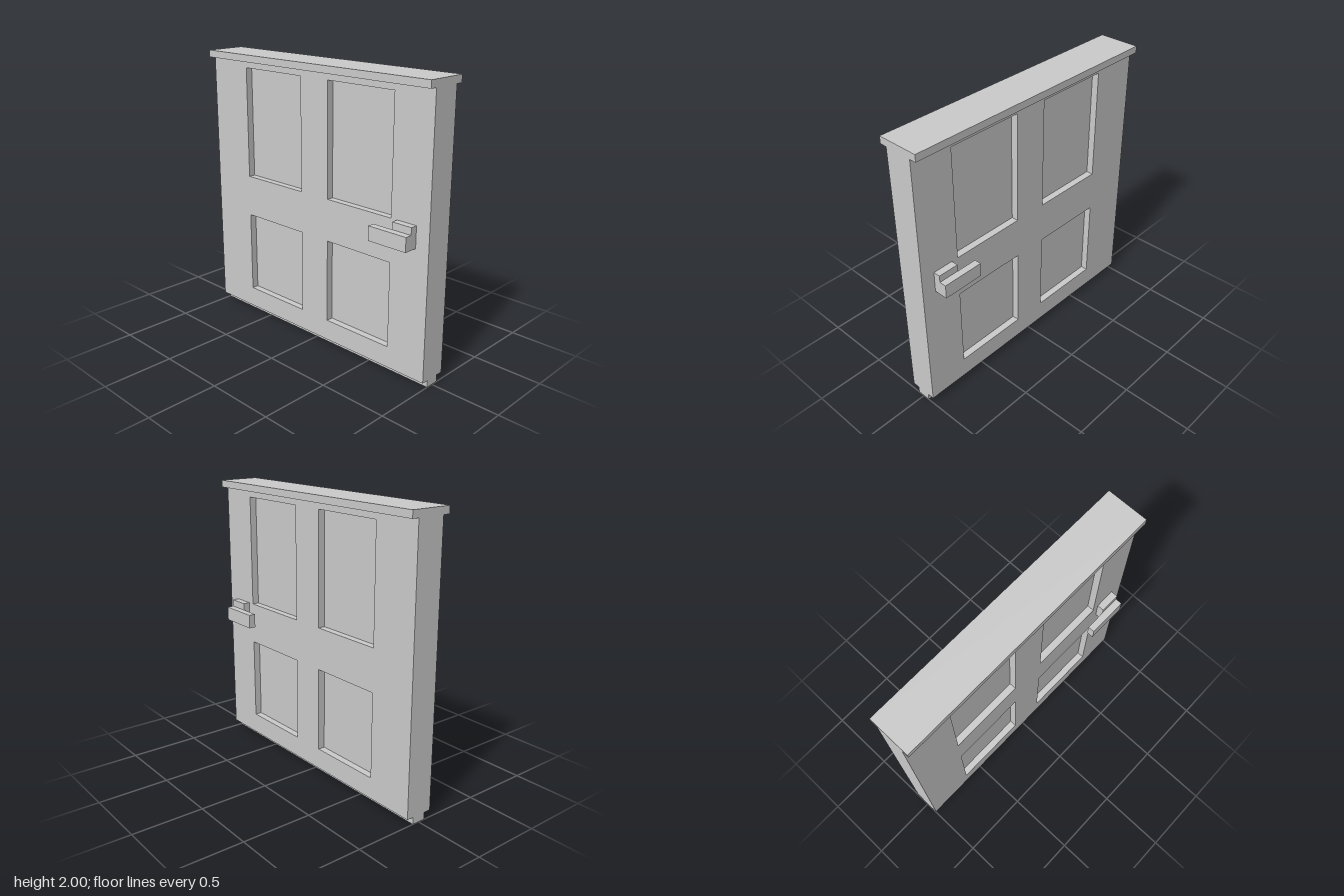
import * as THREE from 'three';

const material = new THREE.MeshStandardMaterial({ color: 0xcccccc, flatShading: true });

// Box given by its [min, max] range on each axis
function box(name, [x0, x1], [y0, y1], [z0, z1]) {
  const geometry = new THREE.BoxGeometry(x1 - x0, y1 - y0, z1 - z0);
  const mesh = new THREE.Mesh(geometry, material);
  mesh.position.set((x0 + x1) / 2, (y0 + y1) / 2, (z0 + z1) / 2);
  mesh.name = name;
  return mesh;
}

function rectangle(target, [z0, z1], [y0, y1]) {
  target.moveTo(z0, y0).lineTo(z1, y0).lineTo(z1, y1).lineTo(z0, y1).closePath();
  return target;
}

export function createModel() {
  const door = new THREE.Group();
  door.name = 'door';

  // Door frame with four openings, each filled by a thinner panel
  const outline = rectangle(new THREE.Shape(), [-1, 1], [0.05, 1.95]);
  for (const z of [[-0.65, -0.1], [0.15, 0.7]]) {
    for (const [level, y] of [['lower', [0.2, 0.8]], ['upper', [1.1, 1.9]]]) {
      outline.holes.push(rectangle(new THREE.Path(), z, y));
      door.add(box(level + (z[0] < 0 ? 'BackPanel' : 'FrontPanel'), [-0.05, 0.05], y, z));
    }
  }
  const frameGeometry = new THREE.ExtrudeGeometry(outline, { depth: 0.2, bevelEnabled: false });
  frameGeometry.translate(0, 0, -0.1).rotateY(-Math.PI / 2);
  const frame = new THREE.Mesh(frameGeometry, material);
  frame.name = 'doorFrame';
  door.add(frame);

  // Overhanging top rail and narrow bottom runner
  door.add(box('topRail', [-0.15, 0.15], [1.95, 2], [-1, 1]));
  door.add(box('bottomRunner', [-0.05, 0.05], [0, 0.05], [-1, 1]));

  // A handle on each face: a mount against the door and a lever standing off it
  for (const [side, s] of [['left', 1], ['right', -1]]) {
    const handle = new THREE.Group();
    handle.name = side + 'Handle';
    const span = (a, b) => (s > 0 ? [a, b] : [-b, -a]);
    handle.add(box('handleMount', span(0.1, 0.15), [0.95, 1.1], [0.75, 0.9]));
    handle.add(box('handleLever', span(0.15, 0.2), [0.95, 1.05], [0.6, 0.9]));
    door.add(handle);
  }
  return door;
}
